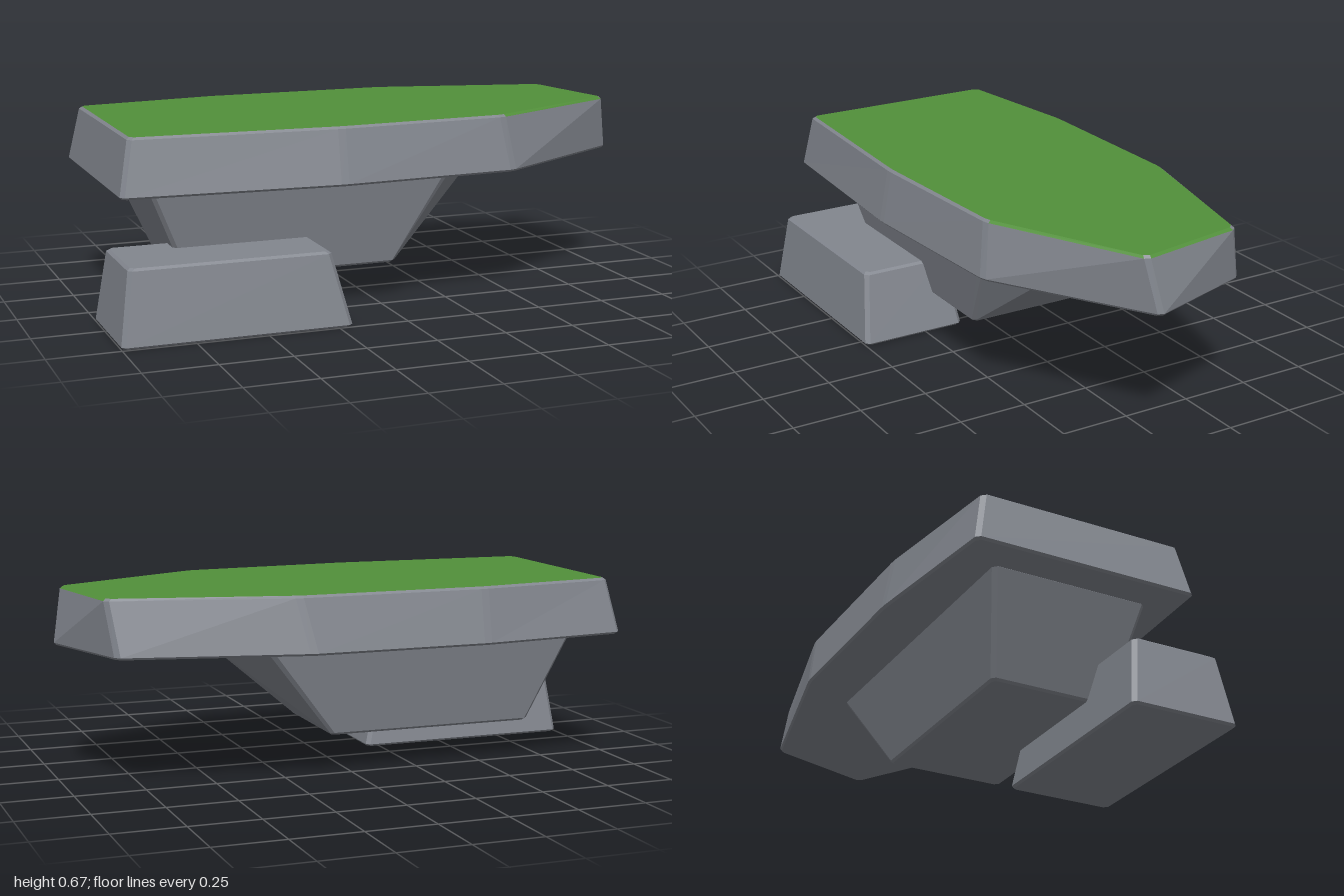
import * as THREE from 'three';

const BEVEL = 0.014;

// Cut every corner of an [x, z] outline, giving two points per corner
function cutCorners(outline) {
  const n = outline.length;
  return outline.flatMap((p, i) => [outline[(i + n - 1) % n], outline[(i + 1) % n]].map((q) => {
    const t = Math.min(BEVEL / Math.hypot(q[0] - p[0], q[1] - p[1]), 0.3);
    return [p[0] + (q[0] - p[0]) * t, p[1] + (q[1] - p[1]) * t];
  }));
}

// Pull an outline inwards by roughly d
function inset(outline, d) {
  const xs = outline.map((p) => p[0]), zs = outline.map((p) => p[1]);
  const cx = (Math.min(...xs) + Math.max(...xs)) / 2, cz = (Math.min(...zs) + Math.max(...zs)) / 2;
  const w = Math.max(...xs) - cx, h = Math.max(...zs) - cz;
  return outline.map(([x, z]) => [cx + (x - cx) * (1 - d / w), cz + (z - cz) * (1 - d / h)]);
}

// Tapered block with softened edges; material 0 is the body, 1 the top cap
function taperedBlock(name, bottom, y0, top, y1, materials, cappedEdges = []) {
  const b = cutCorners(bottom), t = cutCorners(top), n = b.length;
  const rings = [
    [inset(b, 0.008), y0], [b, y0 + 0.008], [t, y1 - 0.008], [inset(t, 0.01), y1],
  ].map(([ring, y]) => ring.map(([x, z]) => [x, y, z]));
  const body = [], cap = [];
  for (let r = 0; r < 3; r++) {
    for (let i = 0; i < n; i++) {
      const j = (i + 1) % n, lo = rings[r], hi = rings[r + 1];
      const onCap = r === 2 && i % 2 === 1 && cappedEdges.includes((i - 1) / 2);
      (onCap ? cap : body).push(lo[i], lo[j], hi[j], lo[i], hi[j], hi[i]);
    }
  }
  for (let i = 1; i < n - 1; i++) {
    body.push(rings[0][0], rings[0][i + 1], rings[0][i]);
    cap.push(rings[3][0], rings[3][i], rings[3][i + 1]);
  }
  const geo = new THREE.BufferGeometry();
  geo.setAttribute('position', new THREE.Float32BufferAttribute([...body, ...cap].flat(), 3));
  geo.addGroup(0, body.length, 0);
  geo.addGroup(body.length, cap.length, 1);
  geo.computeVertexNormals();
  const mesh = new THREE.Mesh(geo, materials);
  mesh.name = name;
  return mesh;
}

const rect = (x0, x1, z0, z1) => [[x0, z1], [x1, z1], [x1, z0], [x0, z0]];

export function createModel() {
  const stone = new THREE.MeshStandardMaterial({ name: 'stone grey', color: 0x82868e });
  const grass = new THREE.MeshStandardMaterial({ name: 'grass green', color: 0x52903a });
  const group = new THREE.Group();
  group.name = 'grassyRockLedge';

  // Wide slab with a grass top
  group.add(taperedBlock('grassSlab',
    [[-0.965, 0.385], [-0.2, 0.425], [0.45, 0.385], [1.0, 0.05], [0.87, -0.355], [0.23, -0.5], [-0.41, -0.5], [-0.965, -0.435]], 0.47,
    [[-0.93, 0.355], [-0.2, 0.39], [0.42, 0.355], [0.965, 0.085], [0.895, -0.315], [0.27, -0.465], [-0.41, -0.465], [-0.93, -0.395]], 0.67,
    [stone, grass], [2, 3]));

  // Rock wedge under the slab, with a pointed overhang at one end
  group.add(taperedBlock('rockWedge',
    [[-0.7, 0.205], [0.075, 0.205], [0.075, -0.21], [0.075, -0.24], [-0.7, -0.24]], 0.135,
    [[-0.84, 0.272], [0.25, 0.272], [0.48, 0.0], [0.33, -0.308], [-0.84, -0.308]], 0.475,
    [stone, stone]));

  // Loose block on the ground
  group.add(taperedBlock('lowerBlock',
    rect(-1, -0.2, 0.1, 0.5), 0,
    rect(-0.965, -0.262, 0.135, 0.465), 0.26,
    [stone, stone]));

  return group;
}
